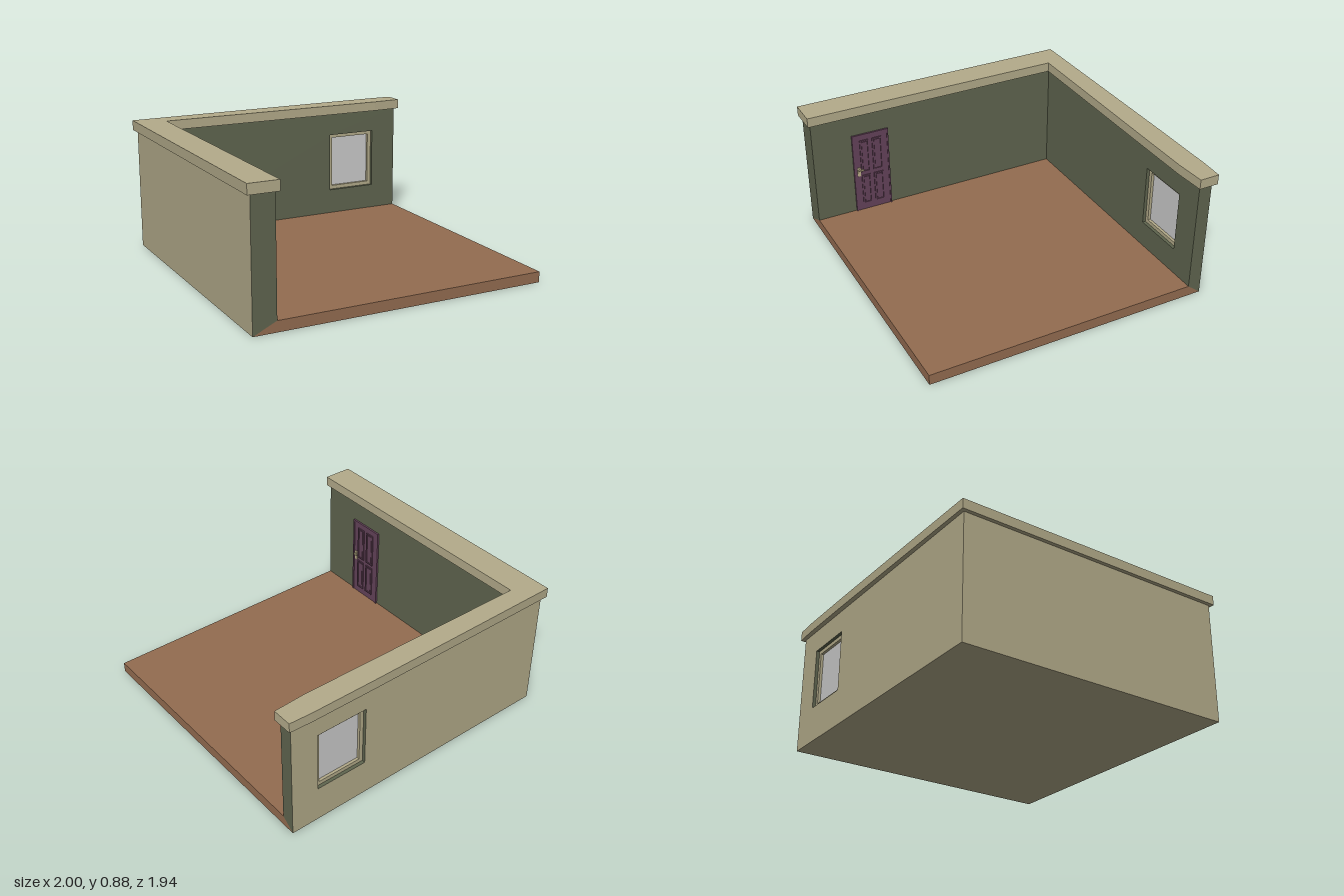
import * as THREE from 'three';

const mat = (name, color, side = THREE.FrontSide) => {
  const m = new THREE.MeshStandardMaterial({ color, side });
  m.name = name;
  return m;
};

export function createModel() {
  const group = new THREE.Group();
  group.name = 'roomCorner';
  const stone = mat('beige plaster', 0xb3ab8a);
  const green = mat('green wall paint', 0x5f654f);
  const wood = mat('brown floor', 0x936c50);
  const purple = mat('purple door', 0x65435a);
  const pane = mat('pale glass', 0xcbcbcb);
  const metal = mat('handle metal', 0xbdb08a);

  const add = (name, geometry, material, parent = group) => {
    const mesh = new THREE.Mesh(geometry, material);
    mesh.name = name;
    parent.add(mesh);
    return mesh;
  };
  // Flat polygon from corners listed counter-clockwise as seen from its front
  const face = (name, material, ...corners) => {
    const index = [];
    for (let i = 2; i < corners.length; i++) index.push(0, i - 1, i);
    const g = new THREE.BufferGeometry();
    g.setAttribute('position', new THREE.Float32BufferAttribute(corners.flat(), 3));
    g.setIndex(index);
    g.computeVertexNormals();
    return add(name, g, material);
  };
  const box = (name, material, x0, x1, y0, y1, z0, z1, parent) => {
    const mesh = add(name, new THREE.BoxGeometry(x1 - x0, y1 - y0, z1 - z0), material, parent);
    mesh.position.set((x0 + x1) / 2, (y0 + y1) / 2, (z0 + z1) / 2);
    return mesh;
  };
  // Rectangle outline, with an optional rectangular hole
  const rectangle = (x0, x1, y0, y1, hole) => {
    const points = (a, b, c, d) => [[a, c], [b, c], [b, d], [a, d]].map(p => new THREE.Vector2(...p));
    const shape = new THREE.Shape(points(x0, x1, y0, y1));
    if (hole) shape.holes.push(new THREE.Path(points(...hole).reverse()));
    return shape;
  };

  // Main planes: outer walls, inner walls, floor and wall top
  const X0 = -0.975, X1 = 0.975, Z0 = -0.942, Z1 = 0.948;
  const XI = -0.825, ZI = -0.853, F = 0.07, H = 0.81;
  const win = [0.44, 0.79, 0.243, 0.655];

  // Floor slab, mitred where it meets the walls
  face('floorTop', wood, [XI, F, Z1], [X1, F, Z1], [X1, F, ZI], [XI, F, ZI]);
  face('floorFrontEdge', wood, [X0, 0, Z1], [X1, 0, Z1], [X1, F, Z1], [XI, F, Z1]);
  face('floorSideEdge', wood, [X1, 0, Z1], [X1, 0, Z0], [X1, F, ZI], [X1, F, Z1]);
  face('underside', stone, [X0, 0, Z0], [X1, 0, Z0], [X1, 0, Z1], [X0, 0, Z1]);

  // Side wall
  face('sideWallOutside', stone, [X0, 0, Z0], [X0, 0, Z1], [X0, H, Z1], [X0, H, Z0]);
  face('sideWallInside', green, [XI, F, Z1], [XI, F, ZI], [XI, H, ZI], [XI, H, Z1]);
  face('sideWallEnd', green, [X0, 0, Z1], [XI, F, Z1], [XI, H, Z1], [X0, H, Z1]);

  // Back wall with its window opening
  add('backWallInside', new THREE.ShapeGeometry(rectangle(XI, X1, F, H, win)), green).position.z = ZI;
  const mirrored = [-win[1], -win[0], win[2], win[3]];
  const outside = add('backWallOutside', new THREE.ShapeGeometry(rectangle(-X1, -X0, 0, H, mirrored)), stone);
  outside.rotation.y = Math.PI;
  outside.position.z = Z0;
  face('backWallEnd', green, [X1, F, ZI], [X1, 0, Z0], [X1, H, Z0], [X1, H, ZI]);

  // Painted reveals of the window opening
  const [wl, wr, wb, wt] = win;
  const rim = [[wl, wb], [wr, wb], [wr, wt], [wl, wt]];
  rim.forEach(([ax, ay], i) => {
    const [bx, by] = rim[(i + 1) % 4];
    face('windowReveal', green, [ax, ay, ZI], [bx, by, ZI], [bx, by, Z0], [ax, ay, Z0]);
  });

  // Recessed window frame and glass
  const opening = [wl + 0.026, wr - 0.026, wb + 0.026, wt - 0.026];
  const frame = new THREE.ExtrudeGeometry(rectangle(...win, opening), { depth: 0.045, bevelEnabled: false });
  add('windowFrame', frame, stone).position.z = -0.92;
  box('windowGlass', pane, opening[0], opening[1], opening[2], opening[3], -0.902, -0.894);

  // L-shaped coping with slightly uneven long edges
  const plan = [[-1, 0.968], [-0.805, 0.968], [-0.805, -0.837], [-0.4, -0.834], [0.4, -0.827],
    [0.8, -0.825], [1, -0.835], [1, -0.966], [0.85, -0.973], [0.4, -0.974], [-0.4, -0.97], [-1, -0.966]];
  const coping = new THREE.ExtrudeGeometry(
    new THREE.Shape(plan.map(([x, z]) => new THREE.Vector2(x, -z))),
    { depth: 0.065, bevelEnabled: false });
  coping.rotateX(-Math.PI / 2);
  add('coping', coping, stone).position.y = H;

  // Door on the inner side wall
  const door = new THREE.Group();
  door.name = 'door';
  group.add(door);
  box('doorLeaf', purple, XI - 0.005, -0.817, F, 0.648, 0.42, 0.66, door);
  for (const [z0, z1] of [[0.41, 0.42], [0.66, 0.672]])
    box('doorJamb', purple, XI - 0.005, -0.812, F, 0.66, z0, z1, door);
  box('doorHead', purple, XI - 0.005, -0.812, 0.648, 0.66, 0.42, 0.66, door);

  // Four raised panels, each with a moulding around it
  for (const [z0, z1] of [[0.462, 0.53], [0.556, 0.62]]) {
    for (const [y0, y1] of [[0.119, 0.343], [0.369, 0.615]]) {
      const ring = rectangle(-z1, -z0, y0, y1, [-z1 + 0.008, -z0 - 0.008, y0 + 0.008, y1 - 0.008]);
      const moulding = add('panelMoulding',
        new THREE.ExtrudeGeometry(ring, { depth: 0.008, bevelEnabled: false }), purple, door);
      moulding.rotation.y = Math.PI / 2;
      moulding.position.x = -0.818;
      box('doorPanel', purple, -0.818, -0.812, y0 + 0.014, y1 - 0.014, z0 + 0.014, z1 - 0.014, door);
    }
  }

  // Handle: back plate, spindle and lever
  box('handlePlate', metal, -0.818, -0.811, 0.343, 0.41, 0.626, 0.648, door);
  const spindle = add('handleSpindle', new THREE.CylinderGeometry(0.006, 0.006, 0.022, 10), metal, door);
  spindle.rotation.z = Math.PI / 2;
  spindle.position.set(-0.804, 0.393, 0.637);
  box('handleLever', metal, -0.801, -0.792, 0.388, 0.399, 0.608, 0.643, door);

  return group;
}
